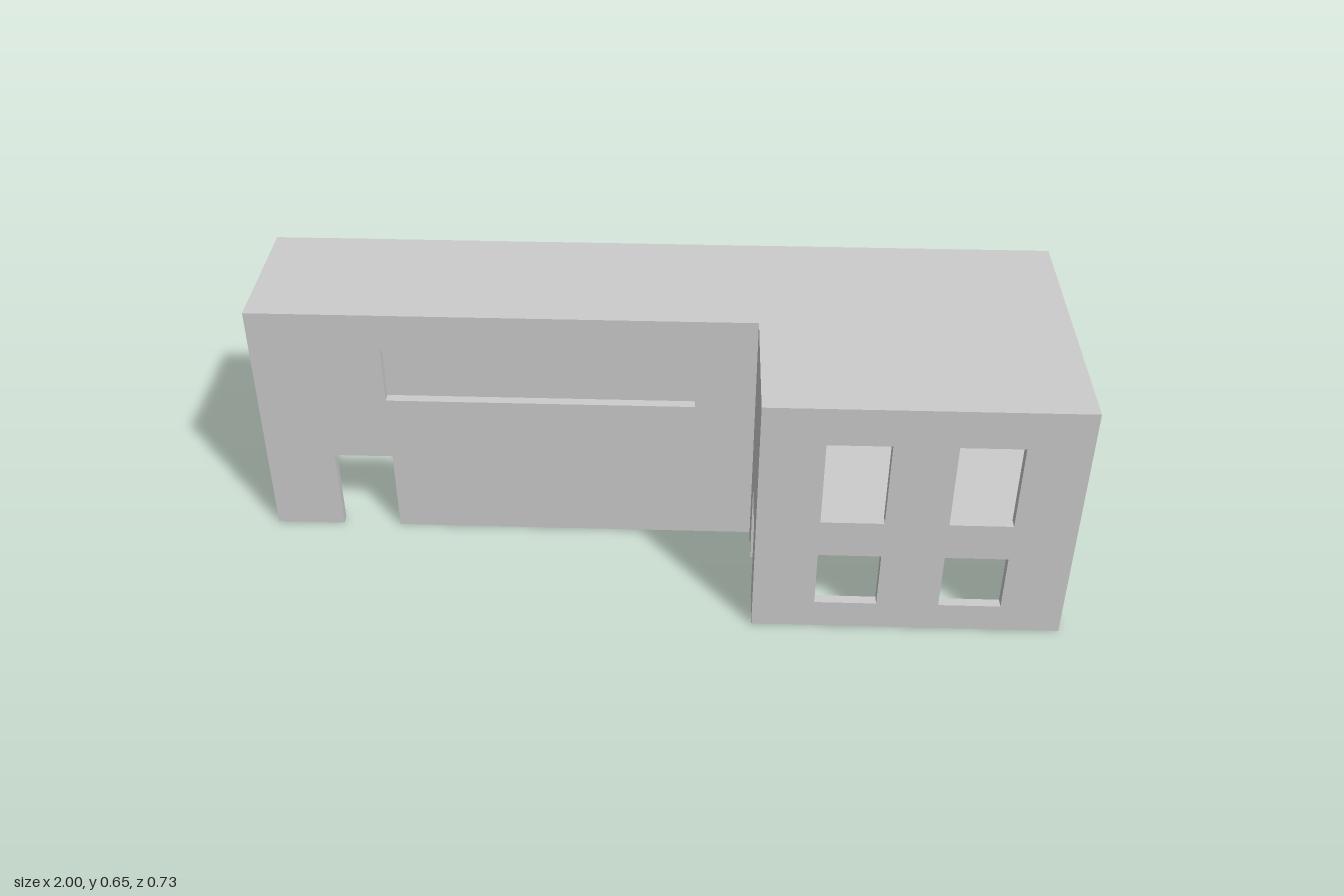
import * as THREE from 'three';
import { mergeGeometries } from 'three/addons/utils/BufferGeometryUtils.js';

const H = 0.65, T = 0.025, TOP = H - T;
const BACK = -0.3625, FRONT = 0.3625, MID = 0.0125, WING = 0.25;
const CEILING = 0.3, FLOOR = 0.325;

export function createModel() {
  const group = new THREE.Group();
  const material = new THREE.MeshStandardMaterial({ color: 0xcccccc, side: THREE.DoubleSide });

  const add = (name, geometry) => {
    const mesh = new THREE.Mesh(geometry, material);
    mesh.name = name;
    group.add(mesh);
  };

  // Flat skin from u0 to u1, y0 to y1; openings [a, b, bottom, top] on the ground become notches
  const skin = (u0, u1, y0, y1, openings = []) => {
    const s = new THREE.Shape();
    s.moveTo(u0, y0);
    for (const [a, b, c, d] of openings) {
      if (c === 0) {
        s.lineTo(a, c);
        s.lineTo(a, d);
        s.lineTo(b, d);
        s.lineTo(b, c);
      } else {
        const h = new THREE.Path();
        h.moveTo(a, c);
        h.lineTo(a, d);
        h.lineTo(b, d);
        h.lineTo(b, c);
        h.closePath();
        s.holes.push(h);
      }
    }
    s.lineTo(u1, y0);
    s.lineTo(u1, y1);
    s.lineTo(u0, y1);
    s.closePath();
    return new THREE.ShapeGeometry(s);
  };

  // Hollow wall: a near and a far skin [u0, u1, height], joined by the reveals of its openings
  const hollowWall = (near, far, openings) => {
    const parts = [
      skin(near[0], near[1], 0, near[2], openings).rotateY(0),
      skin(far[0], far[1], 0, far[2], openings).translate(0, 0, T),
    ];
    for (const [a, b, c, d] of openings) {
      for (const u of [a, b]) {
        parts.push(new THREE.PlaneGeometry(T, d - c).rotateY(Math.PI / 2).translate(u, (c + d) / 2, T / 2));
      }
      for (const y of c === 0 ? [d] : [c, d]) {
        parts.push(new THREE.PlaneGeometry(b - a, T).rotateX(-Math.PI / 2).translate((a + b) / 2, y, T / 2));
      }
    }
    return mergeGeometries(parts);
  };

  // Wall across x with its rear skin at z, or along z (u = -z) with its lower-x skin at x
  const wallX = (name, z, ...args) => add(name, hollowWall(...args).translate(0, 0, z));
  const wallZ = (name, x, ...args) => add(name, hollowWall(...args).rotateY(Math.PI / 2).translate(x, 0, 0));

  // Long front wall with door and strip window
  wallX('mainFrontWall', MID - T, [-1 + T, WING + T, TOP], [-1, WING, H],
    [[-0.825, -0.675, 0, 0.225], [-0.675, 0.1, 0.4, 0.55]]);

  // Ground-floor partition inside the wing
  wallX('partition', MID - T, [WING + T, 1 - T, CEILING], [WING + T, 1 - T, CEILING],
    [[0.55, 0.7, 0, 0.225]]);

  // Wing front with two rows of windows
  const windows = [];
  for (const x of [0.4, 0.7]) {
    windows.push([x, x + 0.15, 0.075, 0.225], [x, x + 0.15, FLOOR, 0.55]);
  }
  wallX('wingFrontWall', FRONT - T, [WING + T, 1 - T, TOP], [WING, 1, H], windows);

  // End walls and the side wall of the wing
  wallZ('leftEndWall', 1 - T, [-FRONT + T, -BACK - T, TOP], [-FRONT, -BACK, H],
    [[0.0625, 0.2625, 0, 0.225], [-0.2625, -0.1125, FLOOR, 0.55]]);
  wallZ('rightEndWall', -1, [-MID, -BACK, H], [-MID + T, -BACK - T, TOP], []);
  wallZ('wingSideWall', WING, [-FRONT, -MID, H], [-FRONT + T, -MID + T, TOP],
    [[-0.2625, -0.1125, 0, 0.225]]);

  // Inset back wall, open where the upper floor meets it
  add('backWall', mergeGeometries([
    skin(-1 + T, WING + T, 0, TOP),
    skin(WING + T, 1 - T, 0, CEILING),
    skin(WING + T, 1 - T, FLOOR, TOP),
  ]).translate(0, 0, BACK + T));

  // L-shaped roof and the ceiling below it
  const plan = (inset) => new THREE.ShapeGeometry(new THREE.Shape([
    [-1 + inset, MID - inset], [WING + inset, MID - inset], [WING + inset, FRONT - inset],
    [1 - inset, FRONT - inset], [1 - inset, BACK + inset], [-1 + inset, BACK + inset],
  ].map(([x, z]) => new THREE.Vector2(x, -z)))).rotateX(-Math.PI / 2);
  add('roof', plan(0).translate(0, H, 0));
  add('upperCeiling', plan(T).translate(0, TOP, 0));

  // Upper floor of the wing: walking surface, ceiling below, and its open edge
  const slab = (y) => new THREE.PlaneGeometry(1 - WING - 2 * T, FRONT - BACK - 2 * T)
    .rotateX(-Math.PI / 2).translate((1 + WING) / 2, y, 0);
  add('upperFloor', slab(FLOOR));
  add('lowerCeiling', slab(CEILING));
  add('upperFloorEdge', new THREE.PlaneGeometry(MID - BACK - 2 * T, FLOOR - CEILING)
    .rotateY(-Math.PI / 2).translate(WING + T, (FLOOR + CEILING) / 2, (MID + BACK) / 2));

  return group;
}
